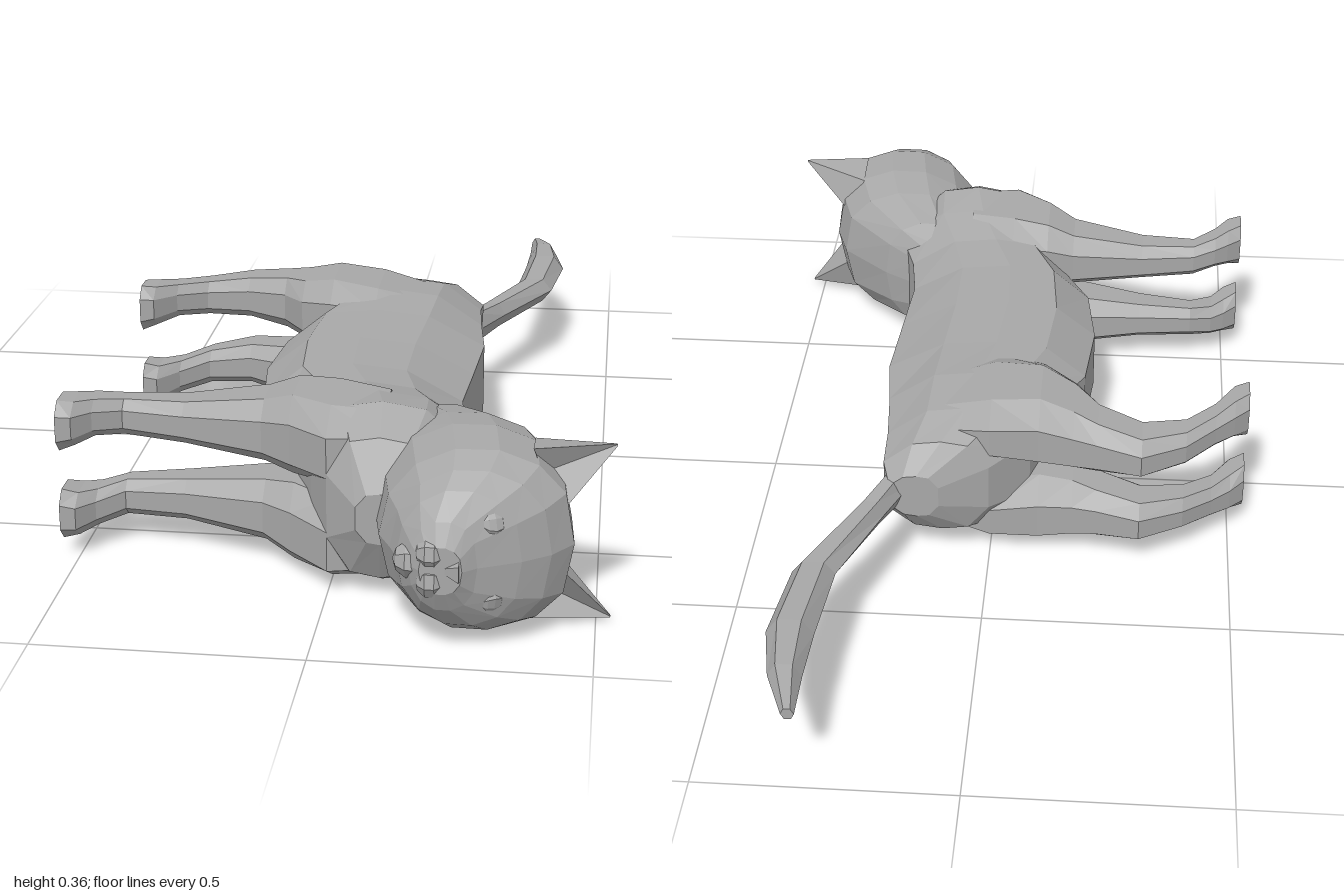
import * as THREE from 'three';

const fur = new THREE.MeshStandardMaterial({ color: 0xa8a8a8, flatShading: true });
fur.name = 'grey fur';

// Skin a list of equal-length rings of [x, y, z] points and cap both ends.
function loft(rings) {
  const n = rings[0].length, pos = rings.flat(2), idx = [];
  for (let r = 0; r < rings.length - 1; r++) {
    for (let i = 0; i < n; i++) {
      const a = r * n + i, b = r * n + (i + 1) % n;
      idx.push(a, b, a + n, b, b + n, a + n);
    }
  }
  const last = (rings.length - 1) * n;
  for (let i = 1; i < n - 1; i++) {
    idx.push(0, i + 1, i, last, last + i, last + i + 1);
  }
  // Turn the faces outward if the enclosed volume comes out negative
  const v = k => new THREE.Vector3().fromArray(pos, k * 3);
  let volume = 0;
  for (let i = 0; i < idx.length; i += 3) {
    volume += v(idx[i]).dot(v(idx[i + 1]).cross(v(idx[i + 2])));
  }
  if (volume < 0) idx.reverse();
  const g = new THREE.BufferGeometry();
  g.setAttribute('position', new THREE.Float32BufferAttribute(pos, 3));
  g.setIndex(idx);
  g.computeVertexNormals();
  return g;
}

// Torso section: flat back and belly, bevelled corners, full flanks
function torsoRing([z, bottom, top, w]) {
  const h = top - bottom;
  const half = [[0.5, 1], [0.93, 0.72], [1, 0.45], [0.93, 0.2], [0.45, 0]];
  const right = half.map(([x, t]) => [x * w, bottom + t * h, z]);
  return [...right, ...right.map(([x, y]) => [-x, y, z]).reverse()];
}

// Head section: squarer towards the crown, rounder at the jaw
function headRing([z, bottom, top, w]) {
  const mid = (bottom + top) / 2, ring = [];
  for (let i = 0; i < 14; i++) {
    const a = (i / 14) * Math.PI * 2 + Math.PI / 14;
    const c = Math.cos(a), s = Math.sin(a), e = s > 0 ? 0.72 : 0.95;
    ring.push([Math.sign(c) * Math.abs(c) ** e * w, mid + s * (top - bottom) / 2, z]);
  }
  return ring;
}

// Leg section: bevelled rectangle at height y
function legRing([y, z0, z1, x0, x1]) {
  const cx = (x0 + x1) / 2, cz = (z0 + z1) / 2, rx = (x1 - x0) / 2, rz = (z1 - z0) / 2;
  const k = 0.5;
  return [[1, k], [k, 1], [-k, 1], [-1, k], [-1, -k], [-k, -1], [k, -1], [1, -k]]
    .map(([a, b]) => [cx + a * rx, y, cz + b * rz]);
}

// Tail section: hexagon across z
function tailRing([z, bottom, top, w]) {
  return Array.from({ length: 6 }, (_, i) => {
    const a = i * Math.PI / 3 + Math.PI / 6;
    return [Math.cos(a) * w * 1.15, (bottom + top) / 2 + Math.sin(a) * (top - bottom) / 2, z];
  });
}

const TORSO = [
  [-0.34, 0.1, 0.2, 0.05], [-0.3, 0, 0.215, 0.11], [-0.22, -0.08, 0.215, 0.14],
  [-0.1, -0.12, 0.225, 0.15], [0.03, -0.185, 0.24, 0.145], [0.2, -0.2, 0.23, 0.142],
  [0.36, -0.18, 0.22, 0.142], [0.47, -0.12, 0.235, 0.147], [0.57, -0.08, 0.27, 0.167],
  [0.66, -0.04, 0.26, 0.18], [0.74, 0, 0.22, 0.14], [0.79, 0.06, 0.16, 0.05],
];
const HEAD = [
  [0.5, 0.1, 0.23, 0.11], [0.55, 0.09, 0.31, 0.14], [0.65, 0.08, 0.42, 0.165],
  [0.74, 0.09, 0.45, 0.178], [0.85, 0.11, 0.458, 0.175], [0.9, 0.135, 0.42, 0.155],
  [0.935, 0.15, 0.37, 0.13], [0.97, 0.175, 0.295, 0.085], [0.99, 0.195, 0.27, 0.045],
];
const TAIL = [
  [-0.3, 0.16, 0.215, 0.035], [-0.4, 0.2, 0.26, 0.028], [-0.6, 0.275, 0.36, 0.027],
  [-0.78, 0.29, 0.382, 0.032], [-0.9, 0.295, 0.36, 0.028], [-1, 0.295, 0.32, 0.012],
];
const FRONT_LEG = [
  [0.1, 0.5, 0.72, 0.03, 0.165], [0, 0.455, 0.74, 0.015, 0.172],
  [-0.08, 0.452, 0.67, 0.01, 0.168], [-0.14, 0.46, 0.625, 0.02, 0.145],
  [-0.3, 0.48, 0.585, 0.038, 0.122], [-0.42, 0.495, 0.57, 0.048, 0.12],
  [-0.47, 0.515, 0.61, 0.056, 0.13], [-0.5, 0.535, 0.652, 0.05, 0.137],
  [-0.53, 0.56, 0.655, 0.04, 0.142],
];
const REAR_LEG = [
  [0.1, -0.26, -0.03, 0.05, 0.135], [0, -0.285, 0, 0.04, 0.16],
  [-0.1, -0.282, -0.03, 0.02, 0.17], [-0.17, -0.287, -0.08, 0.02, 0.152],
  [-0.22, -0.295, -0.15, 0.025, 0.14], [-0.31, -0.318, -0.19, 0.035, 0.125],
  [-0.4, -0.27, -0.175, 0.045, 0.12], [-0.46, -0.215, -0.125, 0.055, 0.127],
  [-0.5, -0.18, -0.065, 0.05, 0.137], [-0.53, -0.15, -0.06, 0.04, 0.142],
];

// Pointed ear with a hollow front, narrowing to its tip
function earRings(side) {
  const tip = [0.17, 0.53, 0.79];
  const base = [[0.165, 0.38, 0.82], [0.11, 0.4, 0.79], [0.05, 0.43, 0.84], [0.07, 0.42, 0.72], [0.15, 0.38, 0.73]];
  return [0, 0.5, 0.97].map(t => base.map(p =>
    p.map((c, i) => (c + (tip[i] - c) * t) * (i === 0 ? side : 1))));
}

export function createModel() {
  const cat = new THREE.Group();
  cat.name = 'cat';
  const add = (name, geometry, x = 0, y = 0, z = 0) => {
    const m = new THREE.Mesh(geometry, fur);
    m.name = name;
    m.position.set(x, y, z);
    cat.add(m);
    return m;
  };

  add('torso', loft(TORSO.map(torsoRing)));
  add('head', loft(HEAD.map(headRing)));
  add('tail', loft(TAIL.map(tailRing)));

  // Nose and chin
  add('nose', new THREE.ConeGeometry(0.026, 0.04, 5), 0, 0.245, 0.982).rotation.x = Math.PI;
  add('chin', new THREE.SphereGeometry(0.035, 7, 5), 0, 0.18, 0.945);

  // Paired parts
  for (const side of [1, -1]) {
    const label = side > 0 ? 'left' : 'right';
    const mirror = ([y, z0, z1, x0, x1]) => legRing([y, z0, z1, x0 * side, x1 * side]);
    add(label + 'FrontLeg', loft(FRONT_LEG.map(mirror)));
    add(label + 'RearLeg', loft(REAR_LEG.map(mirror)));
    add(label + 'Ear', loft(earRings(side)));
    const eye = add(label + 'Eye', new THREE.SphereGeometry(0.03, 8, 6), side * 0.078, 0.318, 0.937);
    eye.scale.set(1, 0.85, 0.5);
    eye.rotation.set(-0.5, side * 0.5, 0);
    const pad = add(label + 'MuzzlePad', new THREE.SphereGeometry(0.032, 7, 5), side * 0.026, 0.214, 0.973);
    pad.scale.set(1, 0.85, 0.8);
  }

  // Lay the cat on its side: its back points to +x, its face to +z
  cat.rotation.z = -Math.PI / 2;
  cat.position.y = 0.182;
  const root = new THREE.Group();
  root.name = 'lyingCat';
  root.add(cat);
  return root;
}
